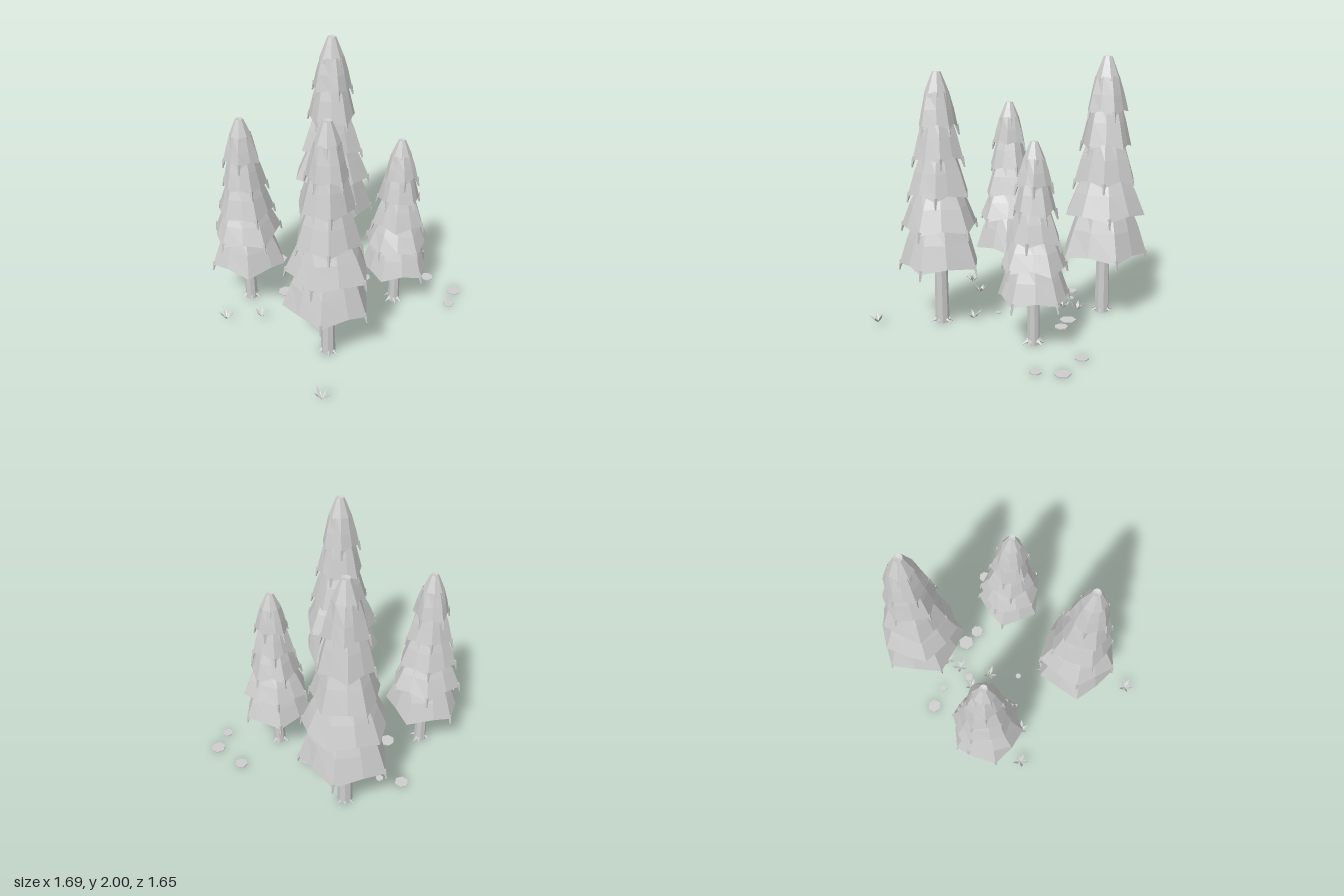
import * as THREE from 'three';

// Small seeded generator for natural irregularity
function seeded(seed) {
  let s = seed;
  return () => (s = (s * 16807) % 2147483647) / 2147483647;
}

// Skin a stack of closed rings, listed from the top down on the outside
function loft(rings) {
  const pos = [];
  for (let k = 0; k < rings.length - 1; k++) {
    const up = rings[k], low = rings[k + 1], n = up.length;
    for (let i = 0; i < n; i++) {
      const j = (i + 1) % n;
      for (const p of [up[i], up[j], low[i], up[j], low[j], low[i]]) pos.push(p.x, p.y, p.z);
    }
  }
  const g = new THREE.BufferGeometry();
  g.setAttribute('position', new THREE.Float32BufferAttribute(pos, 3));
  g.computeVertexNormals();
  return g;
}

export function createModel() {
  const model = new THREE.Group();
  model.name = 'pineGrove';
  const grey = new THREE.MeshStandardMaterial({ color: 0xcccccc, flatShading: true, side: THREE.DoubleSide });
  grey.name = 'plainGrey';

  const add = (parent, name, geometry) => {
    const m = new THREE.Mesh(geometry, grey);
    m.name = name;
    parent.add(m);
    return m;
  };

  // One skirt of branches: flared, with a jagged rim, hollow underneath
  function addTier(tree, name, top, rim, rTop, rRim, rand) {
    const n = 10, turn = rand() * 6.28, h = top - rim;
    const rings = [[], [], [], []];
    for (let i = 0; i < n; i++) {
      const a = turn + (i + (rand() - 0.5) * 0.35) / n * Math.PI * 2;
      const tip = i % 2 === 0;
      const r = rRim * (tip ? 1.0 + rand() * 0.08 : 0.88 + rand() * 0.06);
      const y = rim + (tip ? -0.02 : 0.01) + (rand() - 0.5) * 0.02;
      const at = (rad, yy) => new THREE.Vector3(Math.cos(a) * rad, yy, Math.sin(a) * rad);
      rings[0].push(at(rTop, top));
      rings[1].push(at(rTop + (r - rTop) * 0.55, rim + h * 0.48));
      rings[2].push(at(r, y));
      rings[3].push(at(0.03, rim + Math.min(0.09, h * 0.4)));
      // Drooping twig at some of the corners
      if (tip && rand() < 0.75) {
        const twig = add(tree, 'branchTip', new THREE.CylinderGeometry(0.015, 0.006, 0.08, 4));
        twig.position.copy(at(r * 0.98, y - 0.012));
        twig.rotation.set(0, -a, 0.25);
      }
    }
    add(tree, name, loft(rings));
  }

  // heights and radii are for a tree 1.9 tall, then scaled
  const tiers = [
    // top, rim, top radius, rim radius
    [0.86, 0.49, 0.17, 0.30],
    [1.10, 0.78, 0.14, 0.285],
    [1.36, 1.02, 0.11, 0.225],
    [1.62, 1.28, 0.09, 0.18],
  ];

  function addTree(name, x, z, height, spread, seed) {
    const tree = new THREE.Group();
    tree.name = name;
    tree.position.set(x, 0, z);
    const rand = seeded(seed), k = height / 1.9;

    // Trunk with a few pointed roots
    const trunk = add(tree, 'trunk', new THREE.CylinderGeometry(0.042 * spread, 0.053 * spread, 0.85 * k, 8));
    trunk.position.y = 0.425 * k;
    for (let i = 0; i < 6; i++) {
      const a = i / 6 * Math.PI * 2 + rand() * 0.5;
      const root = add(tree, 'root', new THREE.ConeGeometry(0.022, 0.075, 4));
      root.position.set(Math.cos(a) * 0.055, 0.02, Math.sin(a) * 0.055);
      root.rotation.set(0, -a, -2.1);
    }

    tiers.forEach(([top, rim, rTop, rRim], i) =>
      addTier(tree, 'branchTier' + (i + 1), top * k, rim * k, rTop * spread, rRim * spread, rand));

    // Rounded crown with a blunt tip
    addTier(tree, 'crownSkirt', 1.76 * k, 1.52 * k, 0.085 * spread, 0.145 * spread, rand);
    const crown = [[0, 1.893], [0.03, 1.9], [0.05, 1.85], [0.088, 1.75], [0.11, 1.6]];
    add(tree, 'crown', loft(crown.map(([r, y]) =>
      Array.from({ length: 8 }, (_, i) => {
        const a = i / 8 * Math.PI * 2;
        return new THREE.Vector3(Math.cos(a) * r * spread, y * k, Math.sin(a) * r * spread);
      }))));
    model.add(tree);
  }

  addTree('backLeftTree', 0.45, -0.5, 2.0, 1.08, 11);
  addTree('backRightTree', -0.46, -0.49, 1.61, 0.93, 237);
  addTree('frontRightTree', -0.43, 0.41, 1.9, 1.02, 3571);
  addTree('frontLeftTree', 0.37, 0.33, 1.46, 0.86, 9001);

  // Flat stepping stones on the ground
  const stones = [
    [0.03, -0.71, 0.055], [-0.23, -0.33, 0.06], [0.07, -0.32, 0.037], [0.12, -0.56, 0.03], [0.35, -0.16, 0.065],
    [0.38, -0.02, 0.052], [-0.17, 0.04, 0.024], [0.78, 0.34, 0.05], [0.8, 0.61, 0.058], [0.64, 0.69, 0.042],
  ];
  stones.forEach(([x, z, r], i) => {
    const stone = add(model, 'stone', new THREE.CylinderGeometry(r, r, 0.008, 6 + (i % 2)));
    stone.position.set(x, 0.008, z);
    stone.rotation.y = i * 0.8;
  });

  // Tufts of folded, outward leaning blades
  const blade = new THREE.BufferGeometry();
  blade.setAttribute('position', new THREE.Float32BufferAttribute([
    0, 0, 0, 0.035, 0.04, 0.013, 0.032, 0.03, 0,
    0, 0, 0, 0.032, 0.03, 0, 0.035, 0.04, -0.013,
    0.035, 0.04, 0.013, 0.07, 0.085, 0, 0.032, 0.03, 0,
    0.032, 0.03, 0, 0.07, 0.085, 0, 0.035, 0.04, -0.013,
  ], 3));
  blade.computeVertexNormals();
  const tufts = [
    [-0.79, -0.38], [-0.57, -0.22], [-0.01, -0.34], [-0.02, -0.16], [-0.79, 0.74],
    [-0.25, 0.25], [0.19, -0.33], [0.3, -0.37],
  ];
  const rand = seeded(77);
  for (const [x, z] of tufts) {
    const tuft = new THREE.Group();
    tuft.name = 'grassTuft';
    tuft.position.set(x, 0.01, z);
    const turn = rand() * 6.28;
    for (let i = 0; i < 5; i++) {
      const b = add(tuft, 'grassBlade', blade);
      b.rotation.y = turn + i / 5 * Math.PI * 2 + rand() * 0.4;
      const s = 0.75 + rand() * 0.3;
      b.scale.set(s, 0.6 + rand() * 0.4, 1);
    }
    model.add(tuft);
  }

  return model;
}
